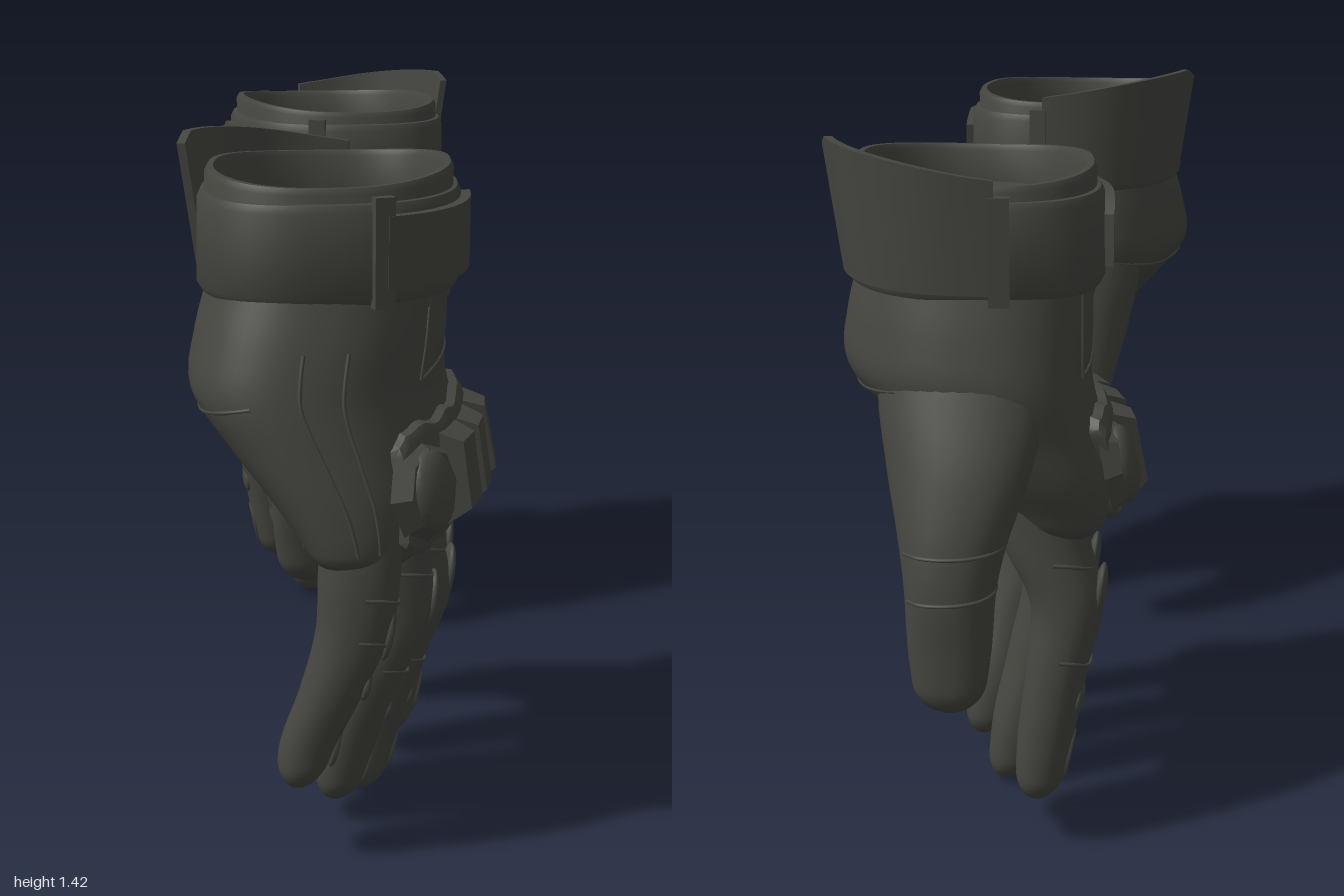
import * as THREE from 'three';
import { toCreasedNormals } from 'three/addons/utils/BufferGeometryUtils.js';

const fabric = new THREE.MeshStandardMaterial({ color: 0x454640, side: THREE.DoubleSide });
fabric.name = 'dark olive fabric';
const { lerp, clamp } = THREE.MathUtils;
const V = (x, y, z) => new THREE.Vector3(x, y, z);

function add(group, name, geometry) {
  const mesh = new THREE.Mesh(geometry, fabric);
  mesh.name = name;
  group.add(mesh);
  return mesh;
}

// Surface through fn(u, v); u optionally wraps round
function grid(fn, nu, nv, wrap, crease = 0.8) {
  const pos = [], idx = [], cols = wrap ? nu : nu + 1;
  for (let j = 0; j <= nv; j++)
    for (let i = 0; i < cols; i++) pos.push(...fn(i / nu, j / nv).toArray());
  for (let j = 0; j < nv; j++)
    for (let i = 0; i < nu; i++) {
      const a = j * cols + i, b = j * cols + (i + 1) % cols;
      idx.push(a, a + cols, b, b, a + cols, b + cols);
    }
  const g = new THREE.BufferGeometry();
  g.setAttribute('position', new THREE.Float32BufferAttribute(pos, 3));
  g.setIndex(idx);
  g.computeVertexNormals();
  return crease ? toCreasedNormals(g, crease) : g;
}

// Rows of [y, x, z, radiusX, radiusZ, skew], smoothly interpolated over y
function track(rows) {
  const f = new THREE.CubicInterpolant(rows.map(r => r[0]), rows.flatMap(r => r.slice(1)), 5);
  return y => Array.from(f.evaluate(y));
}

// Point on a skewed rounded oval
function oval([x, z, rx, rz, k], y, a, off = 0, scale = 1, n = 2.4) {
  const p = c => Math.sign(c) * Math.abs(c) ** (2 / n);
  const dx = (rx + off) * scale * p(Math.cos(a)), dz = (rz + off) * scale * p(Math.sin(a));
  return V(x + dx - k * dz, y, z + dz);
}

// Closed limb whose lower end is rounded over height tip
function limb(rows, tip, n = 2.2, seg = 32) {
  const at = track(rows), y0 = rows[0][0], y1 = rows[rows.length - 1][0];
  return grid((u, v) => {
    const y = lerp(y0, y1, v ** 1.7), d = Math.min(1, (y - y0) / tip);
    return oval(at(y), y, u * Math.PI * 2, 0, Math.sqrt(1 - (1 - d) ** 2), n);
  }, seg, 40, true, 0);
}

const handRows = [
  [0.57, 0.035, 0.69, 0.105, 0.285, 0.33], [0.66, 0.038, 0.69, 0.137, 0.305, 0.33],
  [0.75, 0.012, 0.67, 0.183, 0.32, 0.3], [0.85, -0.04, 0.648, 0.222, 0.325, 0.25],
  [0.95, -0.085, 0.625, 0.253, 0.328, 0.2], [1.05, -0.08, 0.622, 0.253, 0.308, 0.17],
  [1.16, -0.065, 0.62, 0.24, 0.278, 0.15]];
const hand = track(handRows);
const onHand = (y, a, off = 0) => oval(hand(y), y, a, off);
const cuffOval = [-0.065, 0.62, 0.235, 0.258, 0.12];
const onCuff = (y, a, off = 0) => oval(cuffOval, y, a, off);

const fingers = {
  pinky: [[0.163, -0.16, 0.912, 0.042, 0.05, 0], [0.25, -0.14, 0.913, 0.055, 0.056, 0],
    [0.38, -0.09, 0.928, 0.064, 0.06, 0], [0.5, -0.05, 0.93, 0.074, 0.064, 0],
    [0.6, -0.04, 0.928, 0.08, 0.064, 0], [0.74, -0.035, 0.915, 0.08, 0.06, 0]],
  ring: [[0.04, -0.067, 0.728, 0.043, 0.056, 0], [0.16, -0.045, 0.743, 0.057, 0.067, 0],
    [0.33, 0, 0.775, 0.065, 0.07, 0], [0.48, 0.05, 0.785, 0.078, 0.072, 0],
    [0.6, 0.033, 0.787, 0.088, 0.074, 0], [0.74, 0.02, 0.78, 0.1, 0.07, 0]],
  middle: [[0, 0, 0.603, 0.045, 0.06, 0], [0.14, 0.025, 0.608, 0.058, 0.07, 0],
    [0.32, 0.07, 0.628, 0.065, 0.075, 0], [0.48, 0.11, 0.637, 0.08, 0.077, 0],
    [0.6, 0.072, 0.643, 0.09, 0.077, 0], [0.74, 0.05, 0.64, 0.1, 0.07, 0]],
  index: [[0.045, 0.08, 0.433, 0.045, 0.06, 0], [0.17, 0.095, 0.436, 0.058, 0.068, 0],
    [0.34, 0.12, 0.445, 0.064, 0.074, 0], [0.49, 0.137, 0.46, 0.077, 0.077, 0],
    [0.6, 0.096, 0.472, 0.09, 0.08, 0], [0.76, 0.06, 0.485, 0.1, 0.08, 0]]
};
const thumbRows = [[0.335, -0.075, 0.226, 0.065, 0.046, 0], [0.46, -0.075, 0.24, 0.082, 0.06, 0],
  [0.6, -0.075, 0.267, 0.093, 0.085, 0], [0.8, -0.07, 0.35, 0.142, 0.12, 0.25],
  [0.95, -0.065, 0.425, 0.172, 0.135, 0.25], [1.08, -0.06, 0.475, 0.15, 0.13, 0.2]];

// Raised strip on the cuff between two angles, with closed ends
function strip(a0, a1, y0, topAt, inner, outer, flare = 0) {
  const n = 26;
  return grid((v, u) => {
    const j = Math.round(u * n), t = clamp((j - 1) / (n - 2), 0, 1);
    const out = j === 0 || j === n ? inner : outer, top = topAt(t), f = flare * (1 - t);
    const [y, o] = [[y0, inner], [y0, out], [top, out + f], [top, inner + f]][Math.round(v * 4) % 4];
    return onCuff(y, lerp(a0, a1, t), o);
  }, 4, n, true);
}

// Thin raised seam following a point function
function seam(fn, r = 0.004) {
  const pts = Array.from({ length: 9 }, (_, i) => fn(i / 8));
  return new THREE.TubeGeometry(new THREE.CatmullRomCurve3(pts), 24, r, 6);
}

// Turns a mesh so its +z leaves the hand surface
function seat(mesh, y, a, off) {
  const p = onHand(y, a, off), e = 0.02;
  const du = onHand(y, a + e).sub(onHand(y, a - e)), dv = onHand(y + e, a).sub(onHand(y - e, a));
  const normal = dv.clone().cross(du).normalize();
  if (normal.x < 0) normal.negate();
  mesh.position.copy(p);
  mesh.lookAt(p.clone().add(normal));
}

// Block with chamfered top, base w by h, rising along +z
function block(w, h, d, taper) {
  const g = new THREE.CylinderGeometry(taper, 1, 1, 4, 1).toNonIndexed();
  g.rotateY(Math.PI / 4).rotateX(Math.PI / 2).scale(w / 1.414, h / 1.414, d);
  g.computeVertexNormals();
  return g;
}

function buildGlove() {
  const g = new THREE.Group();
  add(g, 'palm', limb(handRows, 0.095, 2.4, 64));

  // Fingers with knuckle pads, joint seams and fingertip loops
  for (const [name, rows] of Object.entries(fingers)) {
    const at = track(rows), y0 = rows[0][0];
    add(g, name + 'Finger', limb(rows, 0.06));
    for (const [y, h] of [[0.5, 0.065], [y0 + 0.23, 0.04]]) {
      const [x, z, rx] = at(y);
      const pad = add(g, name + 'Pad', new THREE.SphereGeometry(1, 16, 10));
      pad.scale.set(0.014, h, 0.045);
      pad.position.set(x + rx - 0.008, y, z);
      pad.rotation.z = -0.15;
    }
    for (const y of [y0 + 0.32, 0.57])
      add(g, name + 'Seam', seam(t => oval(at(y), y + 0.012 * Math.cos(t * 6.28), lerp(-1.5, 1.5, t), 0, 1, 2.2)));
    const [x, z, rx] = at(y0 + 0.1);
    const loop = add(g, name + 'TipLoop', new THREE.TorusGeometry(0.024, 0.007, 6, 20));
    loop.rotation.set(0, Math.PI / 2, -0.2, 'ZYX');
    loop.scale.set(1, 2, 1);
    loop.position.set(x + rx - 0.003, y0 + 0.1, z);
  }

  // Thumb
  add(g, 'thumb', limb(thumbRows, 0.06));
  const thumbAt = track(thumbRows);
  for (const y of [0.57, 0.66])
    add(g, 'thumbSeam', seam(t => oval(thumbAt(y), y + 0.02 * t, lerp(-2.6, 1, t), 0, 1, 2.2)));

  // Knuckle guard: raised base with five bumps
  add(g, 'guardBase', grid((u, v) => {
    const k = [[0, -0.01], [0.02, 0.018], [0.1, 0.026], [0.9, 0.026], [0.98, 0.018], [1, -0.01]][Math.round(v * 5)];
    const a = lerp(-0.8, 1.04, u), end = Math.min(1, Math.min(u, 1 - u) * 12);
    const half = 0.125 * (0.62 + 0.38 * end) + 0.006 * Math.cos(u * 31);
    return onHand(0.77 + (k[0] * 2 - 1) * half, a, lerp(-0.01, k[1], Math.min(1, end * 2)));
  }, 48, 5, false, 0.6));
  for (const a of [0.36, 0.07, -0.21])
    seat(add(g, 'knuckleBlock', block(0.115, 0.2, 0.06, 0.68)), 0.78, a, 0.032);
  for (const [a, off] of [[0.75, 0.02], [-0.5, 0.01]]) {
    const frame = add(g, 'knuckleFrame', new THREE.CylinderGeometry(0.08, 0.105, 0.035, 8).rotateX(Math.PI / 2).toNonIndexed());
    frame.geometry.computeVertexNormals();
    seat(frame, 0.775, a, off);
    const dome = add(g, 'knuckleDome', new THREE.SphereGeometry(1, 24, 14));
    dome.scale.set(0.066, 0.082, 0.034);
    seat(dome, 0.775, a, off + 0.012);
  }

  // Stitched panels on the back, side and heel of the hand
  add(g, 'backPanelSeam', seam(t => onHand(0.97 + 0.02 * Math.sin(t * 3.14), lerp(-0.6, 0.6, t))));
  for (const a of [-0.6, 0.6])
    add(g, 'backPanelSeam', seam(t => onHand(lerp(1.13, 0.97, t), a)));
  add(g, 'heelSeam', seam(t => onHand(0.95 - 0.035 * Math.sin(t * 3.14), lerp(1.9, 4.1, t))));
  for (const a of [1.35, 1.6])
    add(g, 'sideSeam', seam(t => onHand(lerp(1.05, 0.67, t), a - 0.1 * t)));
  add(g, 'palmCrease', seam(t => onHand(lerp(0.66, 0.82, t * t), lerp(2.5, 3.9, t))));

  // Cuff sleeve, wrist band and the floor inside
  const ring = profile => grid((u, v) => {
    const [off, y] = profile[Math.round(v * (profile.length - 1))];
    const a = u * Math.PI * 2;
    return onCuff(y + (y > 1.33 ? 0.008 * Math.cos(a * 2) : 0), a, off);
  }, 72, profile.length - 1, true);
  add(g, 'cuffSleeve', ring([[0.01, 1.11], [0.012, 1.35], [0.006, 1.362], [-0.006, 1.362], [-0.012, 1.35], [-0.014, 1.27]]));
  add(g, 'wristBand', ring([[0, 1.13], [0.022, 1.135], [0.03, 1.15], [0.027, 1.31], [0.02, 1.325], [0, 1.328]]));
  add(g, 'cuffFloor', grid((u, v) => oval(cuffOval, 1.275, u * Math.PI * 2, -0.012, v), 48, 1, true));

  // Pull flap with a rounded corner, strap end and two buckles
  add(g, 'pullFlap', strip(3.24, 4.8, 1.15,
    t => 1.42 - 0.05 * t * t - 0.02 * Math.max(0, 1 - t * 12), 0.02, 0.037, 0.036));
  add(g, 'strapEnd', strip(-0.2, 1.22, 1.165, t => 1.27 + 0.035 * Math.min(1, t * 8), 0.02, 0.047));
  for (const a of [1.24, 4.83]) {
    const buckle = add(g, 'buckle', new THREE.BoxGeometry(0.04, 0.21, 0.022));
    const p = onCuff(1.235, a, 0.034), d = onCuff(1.235, a + 0.05, 0.034).sub(p);
    buckle.position.copy(p);
    buckle.rotation.y = Math.atan2(-d.z, d.x);
  }
  return g;
}

export function createModel() {
  const model = new THREE.Group();
  model.name = 'gloves';
  const front = buildGlove(), rear = buildGlove();
  front.name = 'frontGlove';
  rear.name = 'rearGlove';
  // The other hand is the mirror image, set behind
  rear.scale.x = -1;
  rear.position.z = -1.18;
  model.add(front, rear);
  return model;
}
